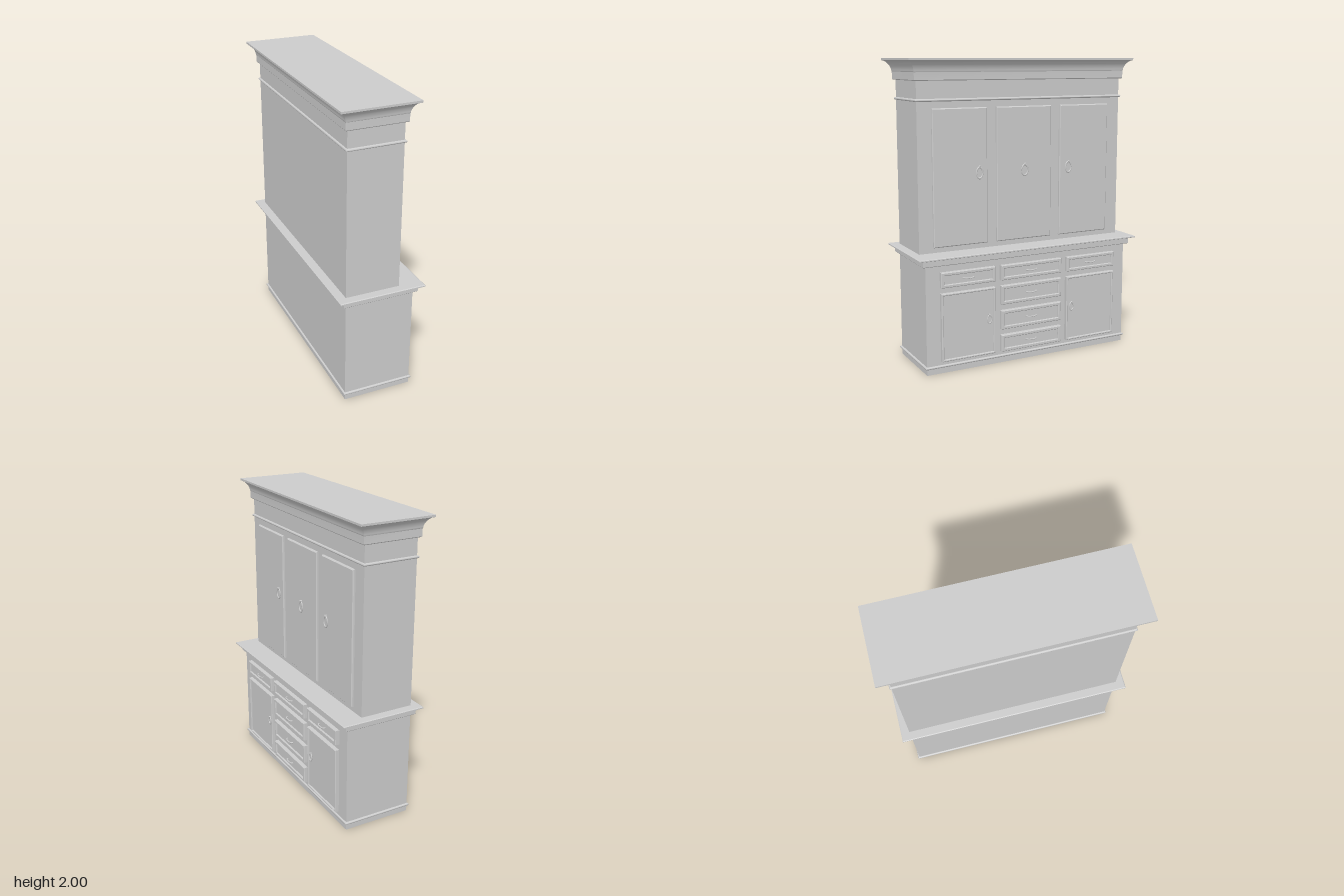
import * as THREE from 'three';
import { toCreasedNormals } from 'three/addons/utils/BufferGeometryUtils.js';

const material = new THREE.MeshStandardMaterial({ color: 0xcccccc });
const BACK = -0.23, LOWER = 0.235, UPPER = 0.135, HALF = 0.746;

function add(parent, name, geometry, x = 0, y = 0, z = 0) {
  const mesh = new THREE.Mesh(geometry, material);
  mesh.name = name;
  mesh.position.set(x, y, z);
  parent.add(mesh);
  return mesh;
}

// Solid with mitred corners: [outward offset, height] profile run around a rectangle
function mitred(front, profile) {
  const pos = [];
  const rings = profile.map(([o, y]) => [
    [front + o, y, HALF + o], [front + o, y, -HALF - o],
    [BACK - o, y, -HALF - o], [BACK - o, y, HALF + o],
  ]);
  const quad = (a, b, c, d) => pos.push(...a, ...b, ...c, ...a, ...c, ...d);
  for (let i = 0; i + 1 < rings.length; i++) {
    for (let k = 0; k < 4; k++) {
      const n = (k + 1) % 4;
      quad(rings[i][k], rings[i][n], rings[i + 1][n], rings[i + 1][k]);
    }
  }
  const b = rings[0], t = rings[rings.length - 1];
  quad(b[3], b[2], b[1], b[0]);
  quad(t[0], t[1], t[2], t[3]);
  const g = new THREE.BufferGeometry();
  g.setAttribute('position', new THREE.Float32BufferAttribute(pos, 3));
  return toCreasedNormals(g, 0.5);
}

// Half-round strip centred on height y
function bead(front, y, r) {
  const profile = [];
  for (let i = 0; i <= 8; i++) {
    const a = -Math.PI / 2 + (i / 8) * Math.PI;
    profile.push([r * Math.cos(a) * 1.25, y + r * Math.sin(a)]);
  }
  return mitred(front, profile);
}

function rectangle(Path, w, h) {
  const p = new Path();
  p.moveTo(-w / 2, -h / 2);
  p.lineTo(w / 2, -h / 2);
  p.lineTo(w / 2, h / 2);
  p.lineTo(-w / 2, h / 2);
  p.closePath();
  return p;
}

// Bevel-edged slab standing on the plane x = 0, with an optional opening
function slab(w, h, depth, bevel, rim = 0) {
  const shape = rectangle(THREE.Shape, w - 2 * bevel, h - 2 * bevel);
  if (rim) shape.holes.push(rectangle(THREE.Path, w - 2 * rim + 2 * bevel, h - 2 * rim + 2 * bevel));
  const g = new THREE.ExtrudeGeometry(shape, {
    depth: depth - bevel, bevelThickness: bevel, bevelSize: bevel, bevelSegments: 1,
  });
  return g.rotateY(Math.PI / 2);
}

// Frame around a recessed panel, for drawers and lower doors
function framedFront(parent, name, y0, y1, z0, z1, rim) {
  const group = new THREE.Group();
  group.name = name;
  group.position.set(LOWER, (y0 + y1) / 2, (z0 + z1) / 2);
  parent.add(group);
  const w = z1 - z0, h = y1 - y0;
  add(group, 'frame', slab(w, h, 0.027, 0.004, rim));
  add(group, 'panel', new THREE.BoxGeometry(0.016, h - rim, w - rim), 0.008);
  return group;
}

// Oval ring hanging from a small knob
function ringPull(parent, x, y, z, rz, ry) {
  const group = new THREE.Group();
  group.name = 'ringPull';
  group.position.set(x, y, z);
  parent.add(group);
  const ring = new THREE.TorusGeometry(1, 0.2, 10, 32).rotateY(Math.PI / 2);
  ring.scale(0.022, ry / 1.2, rz / 1.2);
  ring.computeVertexNormals();
  add(group, 'ring', ring, 0.008);
  const post = new THREE.CylinderGeometry(0.004, 0.005, 0.014, 12).rotateZ(-Math.PI / 2);
  add(group, 'post', post, 0.006, ry);
  add(group, 'knob', new THREE.SphereGeometry(0.006, 12, 8), 0.012, ry);
}

// Slim bow handle with rounded ends
function drawerPull(parent) {
  const curve = new THREE.CatmullRomCurve3([
    [0.014, 0, -0.038], [0.026, 0, -0.034], [0.03, -0.002, -0.02],
    [0.031, -0.003, 0], [0.03, -0.002, 0.02], [0.026, 0, 0.034], [0.014, 0, 0.038],
  ].map((p) => new THREE.Vector3(...p)));
  add(parent, 'drawerPull', new THREE.TubeGeometry(curve, 28, 0.0045, 8));
}

export function createModel() {
  const model = new THREE.Group();
  model.name = 'cabinet';

  // Carcasses, counter and strips
  add(model, 'lowerCarcass', mitred(LOWER, [[0, 0], [0, 0.765]]));
  add(model, 'upperCarcass', mitred(UPPER, [[0, 0.765], [0, 1.9]]));
  add(model, 'baseBead', bead(LOWER, 0.047, 0.009));
  add(model, 'friezeBead', bead(UPPER, 1.743, 0.009));
  add(model, 'counterRail', mitred(LOWER, [[0.02, 0.715], [0.024, 0.719], [0.024, 0.762]]));
  add(model, 'counter', mitred(LOWER, [
    [0.053, 0.76], [0.058, 0.763], [0.058, 0.77], [0.053, 0.774],
  ].map(([o, y]) => [o === 0.058 ? 0.059 : o, y])).translate(0, 0, 0));

  // Crown with a hollow curve between two flat bands
  const crown = [[0.014, 1.863], [0.018, 1.868], [0.018, 1.915]];
  for (let i = 0; i <= 10; i++) {
    const a = (i / 10) * Math.PI / 2;
    crown.push([0.066 - 0.046 * Math.cos(a) ** 1.2, 1.918 + 0.067 * Math.sin(a) ** 1.2]);
  }
  crown.push([0.07, 1.987], [0.07, 2]);
  add(model, 'crown', mitred(UPPER, crown));

  // Upper doors: [z from, z to, ring z]
  for (const [z0, z1, rz] of [[0.27, 0.65, 0.33], [-0.203, 0.203, 0], [-0.65, -0.27, -0.335]]) {
    add(model, 'upperDoor', slab(z1 - z0, 0.885, 0.016, 0.006), UPPER, 1.25, (z0 + z1) / 2);
    ringPull(model, UPPER + 0.014, 1.273, rz, 0.027, 0.042);
  }

  // Side drawers and lower doors, mirrored
  for (const s of [1, -1]) {
    const z0 = s > 0 ? 0.27 : -0.65, z1 = z0 + 0.38;
    drawerPull(framedFront(model, 'sideDrawer', 0.57, 0.67, z0, z1, 0.021));
    framedFront(model, 'lowerDoor', 0.082, 0.532, z0, z1, 0.014);
    ringPull(model, LOWER + 0.014, 0.32, s * 0.312, 0.019, 0.031);
  }

  // Central stack of drawers
  for (const [y0, y1] of [[0.57, 0.67], [0.405, 0.532], [0.235, 0.363], [0.082, 0.195]]) {
    drawerPull(framedFront(model, 'centreDrawer', y0, y1, -0.227, 0.227, 0.022));
  }
  return model;
}
